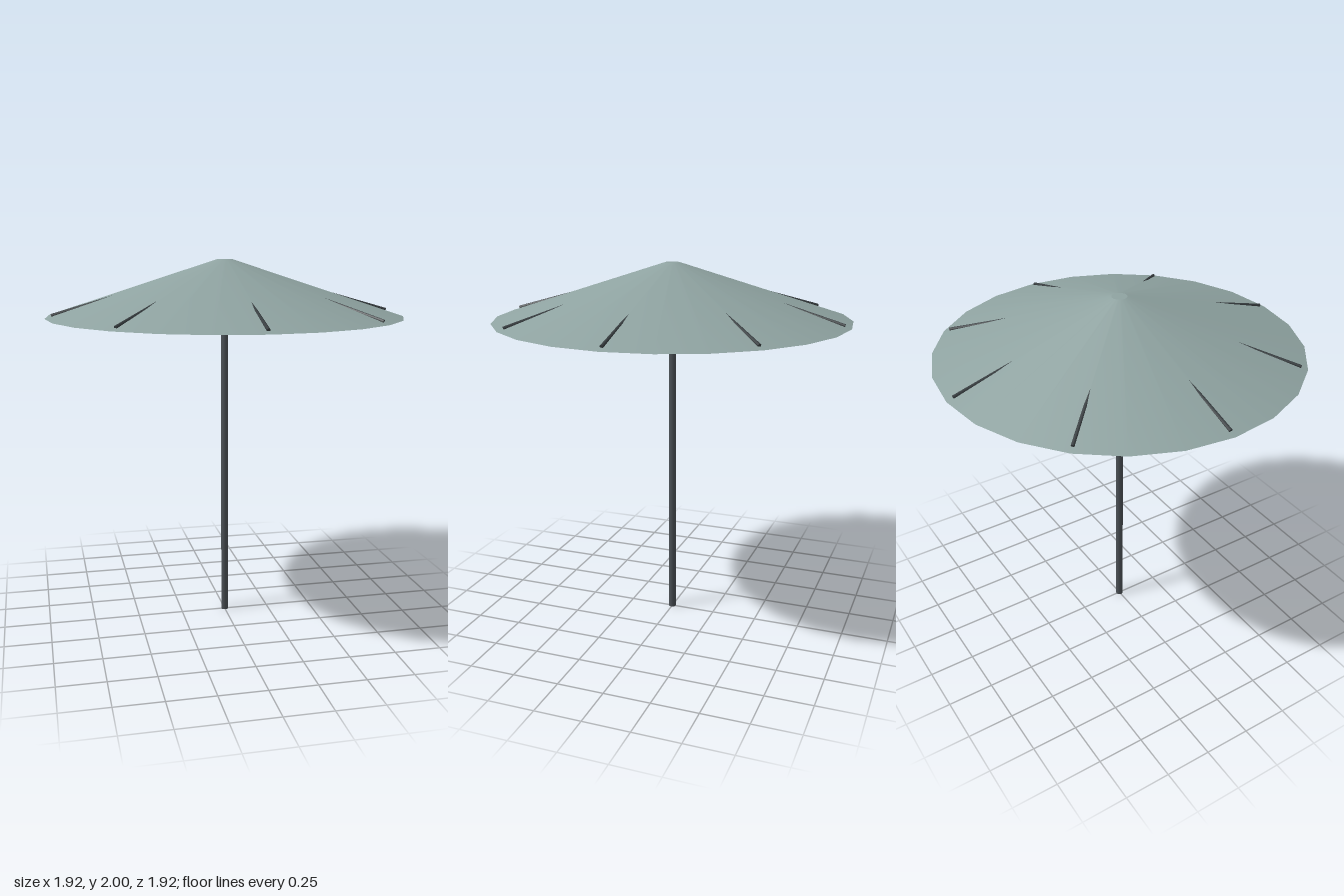
import * as THREE from 'three';
import { mergeVertices } from 'three/addons/utils/BufferGeometryUtils.js';

const canopyMat = new THREE.MeshStandardMaterial({ name: 'greyGreenFabric', color: 0x8fa3a1 });
const metalMat = new THREE.MeshStandardMaterial({ name: 'darkMetal', color: 0x4a5055 });
const ribMat = new THREE.MeshStandardMaterial({ name: 'darkRib', color: 0x3a4043 });

// Share the rim vertices so the shading rolls softly over the ends
function soften(geometry) {
  geometry.deleteAttribute('normal');
  geometry.deleteAttribute('uv');
  const merged = mergeVertices(geometry);
  merged.computeVertexNormals();
  return merged;
}

export function createModel() {
  const group = new THREE.Group();
  group.name = 'parasol';

  const add = (name, geometry, material, parent = group) => {
    const mesh = new THREE.Mesh(geometry, material);
    mesh.name = name;
    parent.add(mesh);
    return mesh;
  };

  // Pole, reaching just inside the canopy
  const poleHeight = 1.72;
  add('pole', soften(new THREE.CylinderGeometry(0.02, 0.02, poleHeight, 12)), metalMat)
    .position.y = poleHeight / 2;

  // Canopy: a shallow closed cone with a small flat crown
  add('canopy', new THREE.CylinderGeometry(0.04, 0.96, 0.3, 24), canopyMat)
    .position.y = 1.85;

  // Eight ribs that emerge from the canopy near its rim
  const ribs = new THREE.Group();
  ribs.name = 'ribs';
  group.add(ribs);
  const length = 0.5;
  const tilt = 0.276;
  const ribGeometry = new THREE.CylinderGeometry(0.009, 0.009, length, 6);
  ribGeometry.rotateX(Math.PI / 2); // lie along z with a ridge on top
  ribGeometry.translate(0, 0, -length / 2); // outer end at the origin
  ribGeometry.rotateX(tilt); // inner end rises
  ribGeometry.translate(0, 1.716, 0.925);
  for (let i = 0; i < 8; i++) {
    add('rib', ribGeometry, ribMat, ribs).rotation.y = (i * Math.PI) / 4;
  }

  return group;
}
